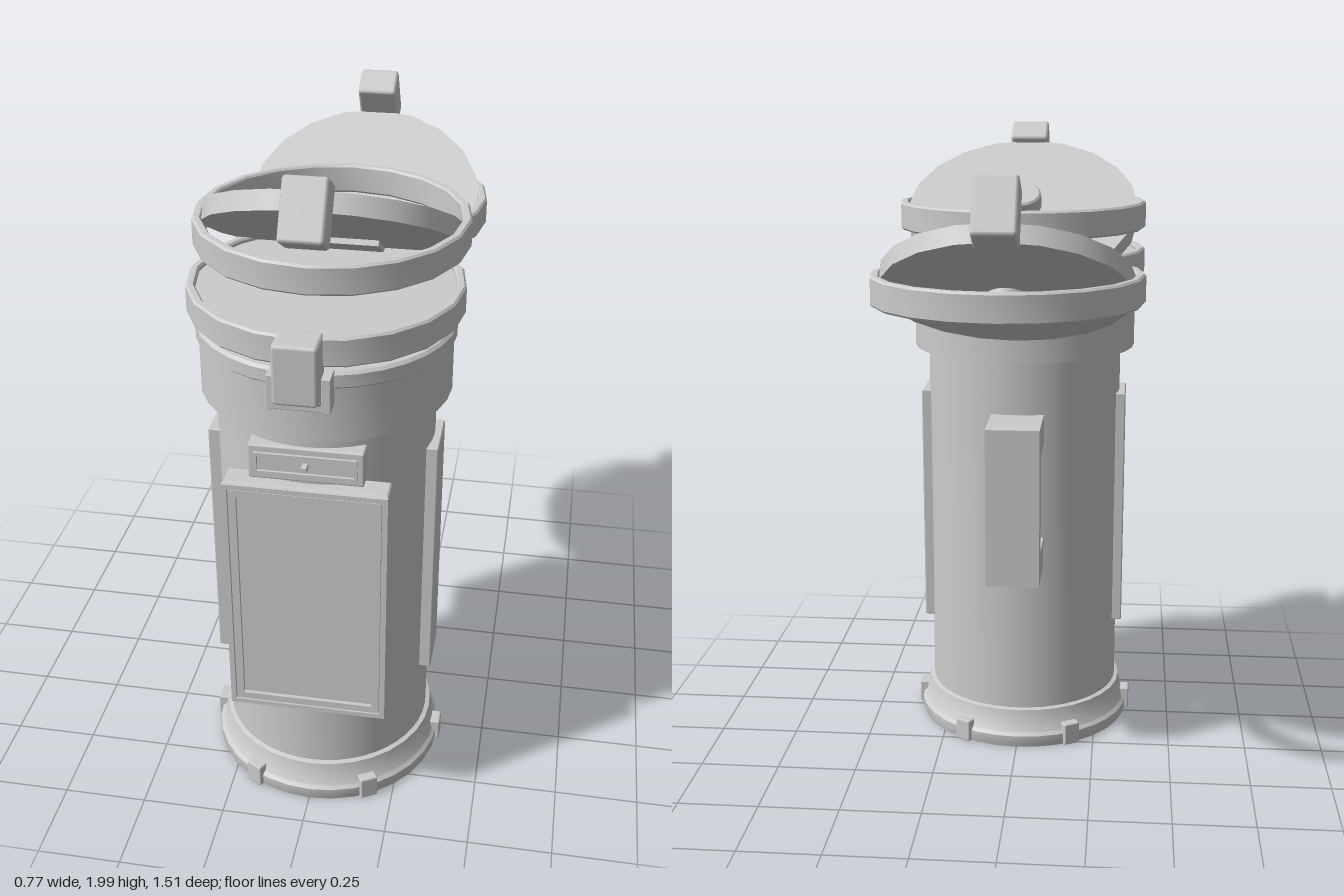
import * as THREE from 'three';
import { toCreasedNormals } from 'three/addons/utils/BufferGeometryUtils.js';
import { RoundedBoxGeometry } from 'three/addons/geometries/RoundedBoxGeometry.js';

const AXIS_Z = 0.3; // canister axis

export function createModel() {
  const model = new THREE.Group();
  model.name = 'canister';
  const grey = new THREE.MeshStandardMaterial({ color: 0xcccccc });
  grey.name = 'light grey';

  function add(parent, name, geometry, x = 0, y = 0, z = 0) {
    const mesh = new THREE.Mesh(geometry, grey);
    mesh.name = name;
    mesh.position.set(x, y, z);
    parent.add(mesh);
    return mesh;
  }
  const box = (w, h, d) => new RoundedBoxGeometry(w, h, d, 1, Math.min(w, h, d) * 0.1);
  // Turned part from [radius, height] pairs, with crisp corners
  function turned(profile, segments) {
    const points = profile.map(([r, y]) => new THREE.Vector2(r, y));
    return toCreasedNormals(new THREE.LatheGeometry(points, segments), 0.6);
  }
  // Upright rectangular frame, lying in the xy plane
  function frame(w, h, border, depth) {
    const rect = (target, a, b) => {
      target.moveTo(-a, -b);
      target.lineTo(a, -b);
      target.lineTo(a, b);
      target.lineTo(-a, b);
      target.closePath();
      return target;
    };
    const shape = rect(new THREE.Shape(), w / 2, h / 2);
    shape.holes.push(rect(new THREE.Path(), w / 2 - border, h / 2 - border));
    return new THREE.ExtrudeGeometry(shape, { depth, bevelEnabled: false });
  }

  // Main cylinder, foot and collar
  add(model, 'body', turned([[0.314, 0.1], [0.314, 1.3]], 48), 0, 0, AXIS_Z);
  add(model, 'base', turned([
    [0, 0], [0.352, 0], [0.355, 0.008], [0.355, 0.038], [0.347, 0.046],
    [0.343, 0.05], [0.328, 0.12], [0.31, 0.125],
  ], 32), 0, 0, AXIS_Z);
  add(model, 'collar', turned([
    [0.3, 1.29], [0.358, 1.29], [0.358, 1.45], [0.366, 1.457], [0.366, 1.492],
    [0.358, 1.5], [0.265, 1.5], [0.265, 1.525], [0, 1.525],
  ], 32), 0, 0, AXIS_Z);

  // Six clips around the foot
  for (let i = 0; i < 6; i++) {
    const a = Math.PI / 6 + (i * Math.PI) / 3;
    const clip = add(model, 'footClip', box(0.055, 0.073, 0.05),
      Math.sin(a) * 0.341, 0.0365, AXIS_Z + Math.cos(a) * 0.341);
    clip.rotation.y = a;
  }

  // Front panel with a raised frame
  add(model, 'frontPanel', box(0.46, 0.77, 0.08), 0, 0.745, 0.604);
  add(model, 'frontPanelFrame', frame(0.46, 0.77, 0.015, 0.014), 0, 0.745, 0.643);
  add(model, 'frontPanelTrim', frame(0.425, 0.735, 0.022, 0.012), 0, 0.745, 0.643);

  // Small plate above it
  add(model, 'namePlate', box(0.32, 0.105, 0.06), 0, 1.193, 0.595);
  add(model, 'plateFrame', frame(0.285, 0.065, 0.009, 0.009), 0, 1.193, 0.624);
  add(model, 'plateButton', box(0.016, 0.016, 0.03), 0, 1.193, 0.635);

  // Side panels
  for (const side of [-1, 1]) {
    add(model, 'sidePanel', box(0.05, 0.79, 0.17), side * 0.31, 0.745, AXIS_Z + 0.005);
  }

  // Rear carrying handle with finger ridges
  const handle = new THREE.Group();
  handle.name = 'handle';
  model.add(handle);
  for (const y of [0.667, 1.07]) {
    add(handle, 'handleArm', new THREE.BoxGeometry(0.165, 0.095, 0.215), 0, y, -0.0975);
  }
  add(handle, 'handleGrip', new THREE.BoxGeometry(0.165, 0.36, 0.072), 0, 0.868, -0.169);
  for (let i = 0; i < 5; i++) {
    const ridge = add(handle, 'gripRidge', new THREE.CylinderGeometry(0.026, 0.026, 0.15, 10),
      0, 0.748 + i * 0.06, -0.141);
    ridge.rotation.z = Math.PI / 2;
  }

  // Catch on the front of the collar
  const latch = new THREE.Group();
  latch.name = 'latch';
  model.add(latch);
  add(latch, 'latchPlate', box(0.17, 0.035, 0.06), 0, 1.425, 0.675);
  for (const side of [-1, 1]) {
    add(latch, 'latchCheek', box(0.025, 0.1, 0.06), side * 0.072, 1.455, 0.675);
  }
  const pin = add(latch, 'latchPin', new THREE.CylinderGeometry(0.018, 0.018, 0.12, 12), 0, 1.45, 0.71);
  pin.rotation.z = Math.PI / 2;

  // Hinge block at the back of the collar
  add(model, 'hingeBlock', box(0.22, 0.1, 0.04), 0, 1.45, -0.05);

  // Three lids: shut, half raised and turned right over; each rim stays level
  const rimShape = turned([
    [0.36, -0.036], [0.365, -0.042], [0.38, -0.042], [0.386, -0.036],
    [0.386, 0.036], [0.38, 0.042], [0.365, 0.042], [0.36, 0.036], [0.36, -0.036],
  ], 20);
  const discShape = new THREE.CylinderGeometry(0.36, 0.36, 0.055, 20);
  const knobShape = turned([[0.06, 0], [0.06, 0.045], [0.054, 0.051], [0, 0.051]], 16);
  const tilt = 0.541;
  const lids = [
    ['closedLid', 1.565, 0.3, 0],
    ['raisedLid', 1.72, 0.205, -tilt],
    ['openLid', 1.57, -0.35, Math.PI + tilt],
  ];
  for (const [name, y, z, angle] of lids) {
    const lid = new THREE.Group();
    lid.name = name;
    lid.position.set(0, y, z);
    model.add(lid);
    add(lid, 'lidRim', rimShape);
    const cover = new THREE.Group();
    cover.name = 'lidCover';
    cover.rotation.x = angle;
    lid.add(cover);
    add(cover, 'lidDisc', discShape);
    add(cover, 'lidKnob', knobShape, 0, 0.027, 0);
    add(cover, 'lidCatch', box(0.12, 0.17, 0.1), 0, -0.037, 0.4);
    add(cover, 'lidHingePlate', new THREE.BoxGeometry(0.25, 0.02, 0.26), 0, -0.034, -0.19);
  }
  return model;
}
